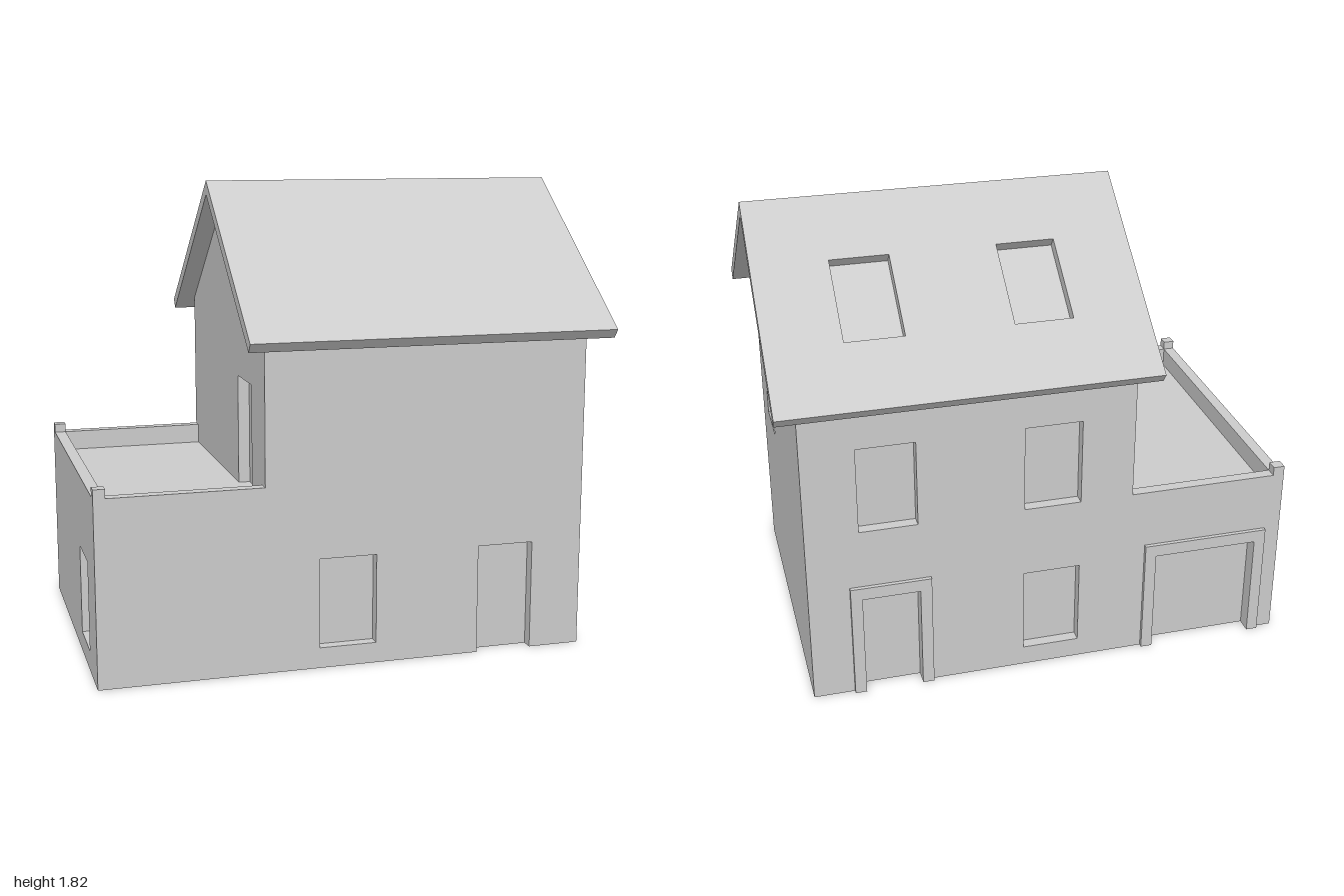
import * as THREE from 'three';

const T = 0.045;                 // wall thickness, also the depth of every recess
const X0 = -1, X1 = -0.365, X2 = 0.915; // garage end, house left, house right
const Z = 0.638, ZI = Z - T;     // outer and inner half depth
const EAVE = 1.284, APEX = 1.765;
const TERRACE = 0.64, PARAPET = 0.72;
const material = new THREE.MeshStandardMaterial({ color: 0xcccccc, flatShading: true });

// Shape from outline points, with rectangular holes [u0, u1, v0, v1]
function panelShape(points, holes = []) {
  const shape = new THREE.Shape(points.map(([u, v]) => new THREE.Vector2(u, v)));
  for (const [u0, u1, v0, v1] of holes) {
    shape.holes.push(new THREE.Path([
      new THREE.Vector2(u0, v0), new THREE.Vector2(u0, v1),
      new THREE.Vector2(u1, v1), new THREE.Vector2(u1, v0)]));
  }
  return shape;
}

function extrude(shape, depth) {
  return new THREE.ExtrudeGeometry(shape, { depth, bevelEnabled: false });
}

// Panel facing z, drawn in (x, y)
function panelZ(points, holes, z, depth = T) {
  return extrude(panelShape(points, holes), depth).translate(0, 0, z);
}

// Panel facing x, drawn in (z, y), ending at xMax
function panelX(points, holes, xMax, depth = T) {
  return extrude(panelShape(points, holes), depth).rotateY(-Math.PI / 2).translate(xMax, 0, 0);
}

function box(x0, x1, y0, y1, z0, z1) {
  return new THREE.BoxGeometry(x1 - x0, y1 - y0, z1 - z0)
    .translate((x0 + x1) / 2, (y0 + y1) / 2, (z0 + z1) / 2);
}

// Door notch in a bottom edge, running left to right
const notch = (u0, u1, y0, y1) => [[u0, y0], [u0, y1], [u1, y1], [u1, y0]];

export function createModel() {
  const model = new THREE.Group();
  const add = (name, geometry) => {
    const mesh = new THREE.Mesh(geometry, material);
    mesh.name = name;
    model.add(mesh);
    return mesh;
  };

  // Openings share two bays along the house
  const bayA = [-0.155, 0.07], bayB = [0.485, 0.71], sideBay = [0.205, 0.43];
  const garageBay = [-0.89, -0.47];
  const low = [0.08, 0.43], high = [0.72, 1.07], doorTop = 0.43;

  // Inner mass: forms the back of every recess and the terrace floor
  const gableTop = [[ZI, EAVE], [Z, EAVE], [0, APEX], [-Z, EAVE], [-ZI, EAVE]];
  add('houseCore', panelX([[-ZI, 0], [ZI, 0], ...gableTop], [], X2 - T, X2 - X1 - 2 * T));
  add('terraceFloor', box(X0 + T, X1 + T, 0, TERRACE, -ZI, ZI));

  // Front and back walls, continuing into the terrace parapet
  const wallTop = [[X2, 0], [X2, EAVE], [X1, EAVE], [X1, PARAPET], [X0, PARAPET]];
  add('frontWall', panelZ(
    [[X0, 0], ...notch(...bayB, 0, doorTop), ...wallTop], [[...bayA, ...low]], ZI));
  add('backWall', panelZ(
    [[X0, 0], ...notch(...garageBay, 0, doorTop), ...notch(...bayB, 0, doorTop), ...wallTop],
    [[...bayA, ...low], [...bayA, ...high], [...bayB, ...high]], -Z));

  // Gable walls; the left one has the terrace door
  add('rightGableWall', panelX([[-ZI, 0], [ZI, 0], ...gableTop], [[...sideBay, ...high]], X2));
  add('leftGableWall', panelX(
    [[-ZI, TERRACE], ...notch(...sideBay, TERRACE, 1.07), [ZI, TERRACE], ...gableTop], [], X1 + T));

  // Garage end wall with raised corner posts
  add('garageEndWall', panelX(
    [[-ZI, 0], [ZI, 0], [ZI, PARAPET], [-ZI, PARAPET]], [[...sideBay, ...low]], X0 + T));
  for (const z of [-Z, ZI]) {
    add('parapetPost', box(X0, X0 + T, PARAPET, 0.755, z, z + T));
  }

  // Raised surrounds of the back doors
  for (const [name, [a, b]] of [['backDoorFrame', bayB], ['garageDoorFrame', garageBay]]) {
    add(name, panelZ([[a - T, 0], ...notch(a, b, 0, doorTop),
      [b + T, 0], [b + T, 0.48], [a - T, 0.48]], [], -Z - 0.016, 0.016));
  }

  // Roof slabs, mitred at the ridge; the back one has skylights
  const pitch = Math.atan((APEX - EAVE) / Z);
  const ridge = 1.82, thick = (ridge - APEX) * Math.cos(pitch);
  const length = 0.73 / Math.cos(pitch), half = 0.72;
  const skylights = [[-0.43, -0.205, -0.635, -0.287], [0.205, 0.43, -0.635, -0.287]];
  for (const [name, holes, turn] of [['frontRoof', [], 0], ['backRoof', skylights, Math.PI]]) {
    const geometry = extrude(panelShape(
      [[-half, -length], [half, -length], [half, 0], [-half, 0]], holes), thick);
    const p = geometry.attributes.position;
    for (let i = 0; i < p.count; i++) {
      if (p.getY(i) > -1e-6 && p.getZ(i) < 1e-6) p.setY(i, -thick * Math.tan(pitch));
    }
    geometry.translate(0, 0, -thick).rotateX(pitch - Math.PI / 2).rotateY(turn);
    geometry.computeVertexNormals();
    add(name, geometry).position.set(0.28, ridge, 0);
  }
  return model;
}
